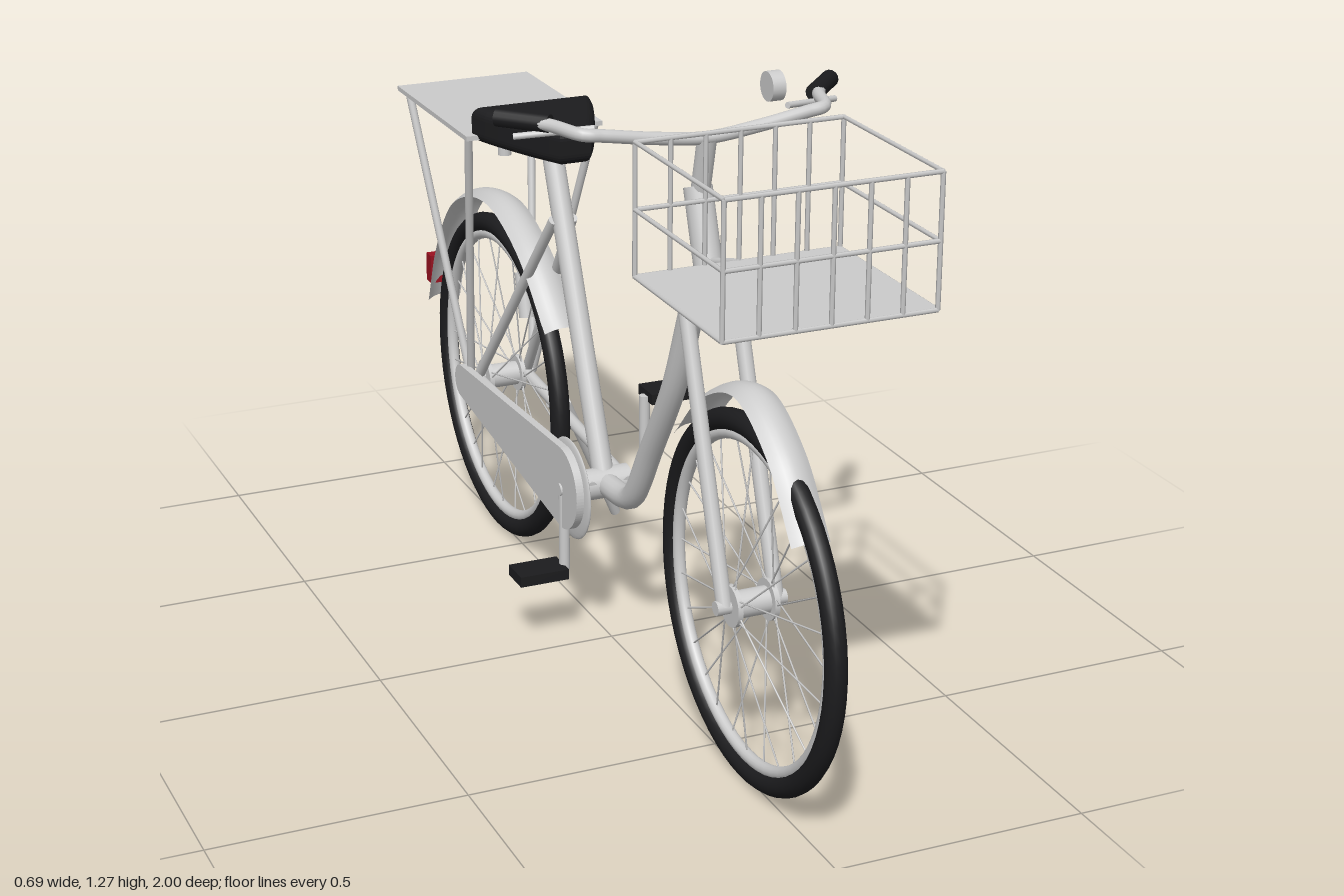
import * as THREE from 'three';
import { mergeGeometries } from 'three/addons/utils/BufferGeometryUtils.js';

const grey = new THREE.MeshStandardMaterial({ color: 0xcccccc });
const greySheet = new THREE.MeshStandardMaterial({ color: 0xcccccc, side: THREE.DoubleSide });
const black = new THREE.MeshStandardMaterial({ color: 0x1c1c1e });
const red = new THREE.MeshStandardMaterial({ color: 0x9a1220 });
const V = (p) => new THREE.Vector3(...p);

// Straight round bar between two points
function bar(a, b, r, sides = 14) {
  const from = V(a), dir = V(b).sub(from);
  const geo = new THREE.CylinderGeometry(r, r, dir.length(), sides);
  geo.applyQuaternion(new THREE.Quaternion().setFromUnitVectors(
    new THREE.Vector3(0, 1, 0), dir.clone().normalize()));
  const mid = from.addScaledVector(dir, 0.5);
  return geo.translate(mid.x, mid.y, mid.z);
}

// Smooth bent tube through points
const bent = (pts, r, seg = 40) =>
  new THREE.TubeGeometry(new THREE.CatmullRomCurve3(pts.map(V), false, 'centripetal'), seg, r, 14);

const box = (w, h, d, x, y, z) => new THREE.BoxGeometry(w, h, d).translate(x, y, z);

// Arched mudguard strip swept along a curve in the (z, y) plane
function mudguardGeometry(points) {
  const curve = new THREE.CatmullRomCurve3(points.map(([z, y]) => V([0, y, z])));
  const rows = 40, cols = 8, pos = [], index = [];
  for (let i = 0; i <= rows; i++) {
    const p = curve.getPoint(i / rows), t = curve.getTangent(i / rows);
    for (let j = 0; j <= cols; j++) {
      const a = (j / cols - 0.5) * 2;
      const drop = 0.016 * a * a;
      pos.push(a * 0.038, p.y + t.z * drop, p.z - t.y * drop);
      if (i < rows && j < cols) {
        const k = i * (cols + 1) + j;
        index.push(k, k + cols + 1, k + 1, k + 1, k + cols + 1, k + cols + 2);
      }
    }
  }
  const geo = new THREE.BufferGeometry();
  geo.setAttribute('position', new THREE.Float32BufferAttribute(pos, 3));
  geo.setIndex(index);
  geo.computeVertexNormals();
  return geo;
}

export function createModel() {
  const model = new THREE.Group();
  const add = (name, geos, mat = grey, parent = model) => {
    const mesh = new THREE.Mesh(Array.isArray(geos) ? mergeGeometries(geos) : geos, mat);
    mesh.name = name;
    parent.add(mesh);
    return mesh;
  };
  const both = (fn) => [1, -1].map(fn);
  const axleY = 0.37, frontZ = 0.64, rearZ = -0.61, crankY = 0.34, crankZ = -0.037;

  // Wheels: tyre, rim, hub and spokes
  for (const [name, z] of [['frontWheel', frontZ], ['rearWheel', rearZ]]) {
    const wheel = new THREE.Group();
    wheel.name = name;
    wheel.position.set(0, axleY, z);
    model.add(wheel);
    const ring = (R, r) => new THREE.TorusGeometry(R, r, 14, 64).rotateY(Math.PI / 2);
    add('tyre', ring(0.338, 0.021), black, wheel);
    add('rim', ring(0.313, 0.012), grey, wheel);
    add('hub', [
      bar([-0.035, 0, 0], [0.035, 0, 0], 0.026, 24),
      bar([-0.07, 0, 0], [0.07, 0, 0], 0.014),
      ...both((s) => bar([s * 0.032, 0, 0], [s * 0.042, 0, 0], 0.04, 24)),
    ], grey, wheel);
    const spokes = [];
    for (let i = 0; i < 28; i++) {
      const a = (i / 28) * Math.PI * 2, b = a + (i % 4 < 2 ? 0.4 : -0.4), x = i % 2 ? 0.037 : -0.037;
      spokes.push(bar([x, Math.cos(b) * 0.035, Math.sin(b) * 0.035],
        [0, Math.cos(a) * 0.31, Math.sin(a) * 0.31], 0.0018, 5));
    }
    add('spokes', spokes, grey, wheel);
  }

  // Mudguards and rear light
  add('frontMudguard', mudguardGeometry(
    [[0.885, 0.59], [0.78, 0.72], [0.64, 0.79], [0.49, 0.735], [0.37, 0.62]]), greySheet);
  add('rearMudguard', mudguardGeometry(
    [[-0.25, 0.6], [-0.41, 0.73], [-0.6, 0.788], [-0.81, 0.725], [-0.93, 0.58], [-0.99, 0.435]]), greySheet);
  add('rearLight', box(0.065, 0.065, 0.03, 0, 0.503, -0.985), red);

  // Frame
  add('headTube', bar([0, 0.905, 0.46], [0, 1.09, 0.395], 0.027, 20));
  add('downTube', bent([[0, 0.935, 0.41], [0, 0.81, 0.36], [0, 0.67, 0.3], [0, 0.5, 0.195],
    [0, 0.37, 0.11], [0, 0.35, 0.07], [0, 0.34, crankZ]], 0.024));
  add('seatTube', bar([0, 0.985, -0.315], [0, crankY, crankZ], 0.022, 20));
  add('bottomBracket', [bar([-0.05, crankY, crankZ], [0.05, crankY, crankZ], 0.032, 20),
    bar([-0.1, crankY, crankZ], [0.1, crankY, crankZ], 0.013)]);
  add('chainStays', both((s) =>
    bar([s * 0.04, 0.345, crankZ + 0.03], [s * 0.055, axleY, rearZ], 0.013)));
  add('seatStays', both((s) => bar([s * 0.02, 0.835, -0.25], [s * 0.057, axleY, rearZ], 0.011)));
  add('fork', both((s) => bar([s * 0.052, 0.888, 0.46], [s * 0.052, axleY, frontZ], 0.015)));

  // Stem, handlebar, grips, brake levers, bell
  add('stem', bent([[0, 1.07, 0.403], [0, 1.14, 0.42], [0, 1.19, 0.432]], 0.018));
  const half = [[0.1, 1.2, 0.43], [0.2, 1.216, 0.43], [0.235, 1.22, 0.425], [0.268, 1.22, 0.34], [0.325, 1.22, 0.265]];
  const mirrored = half.map(([x, y, z]) => [-x, y, z]).reverse();
  add('handlebar', bent([...mirrored, [0, 1.19, 0.43], ...half], 0.012, 100));
  add('grips', both((s) => bar([s * 0.262, 1.22, 0.335], [s * 0.333, 1.22, 0.258], 0.017)), black);
  add('brakeLevers', both((s) => bar([s * 0.32, 1.195, 0.305], [s * 0.19, 1.213, 0.37], 0.006)));
  add('bell', bar([0.152, 1.25, 0.36], [0.178, 1.25, 0.36], 0.028, 24));

  // Headlight with lens plate
  add('headlight', new THREE.SphereGeometry(0.045, 24, 18).scale(1, 1.05, 0.85).translate(0, 0.92, 0.56));
  add('headlightLens', bar([0, 0.92, 0.605], [0, 0.92, 0.609], 0.04, 32));

  // Wire basket with solid floor
  const wires = [], bx = 0.2, z0 = 0.57, z1 = 0.925, wire = 0.0045;
  for (const y of [1.0, 1.122, 1.243]) {
    for (const z of [z0, z1]) wires.push(bar([-bx, y, z], [bx, y, z], wire, 6));
    for (const x of [-bx, bx]) wires.push(bar([x, y, z0], [x, y, z1], wire, 6));
  }
  for (const z of [z0, z1]) {
    for (let i = 0; i <= 6; i++) {
      const x = -bx + (i * bx) / 3;
      wires.push(bar([x, 1.0, z], [x, 1.243, z], wire, 6));
    }
  }
  add('basketWires', wires);
  add('basketFloor', box(0.4, 0.008, z1 - z0, 0, 1.0, (z0 + z1) / 2));
  add('basketBracket', bar([0, 1.0, 0.575], [0, 0.96, 0.44], 0.008));

  // Saddle: bevelled plan shape, narrow nose to the front
  const plan = new THREE.Shape();
  plan.moveTo(-0.022, 0.2);
  plan.lineTo(0.022, 0.2);
  plan.quadraticCurveTo(0.066, 0.28, 0.108, 0.402);
  plan.lineTo(-0.108, 0.402);
  plan.quadraticCurveTo(-0.066, 0.28, -0.022, 0.2);
  const saddle = new THREE.ExtrudeGeometry(plan, {
    depth: 0.03, bevelThickness: 0.022, bevelSize: 0.02, bevelSegments: 6, curveSegments: 12 });
  add('saddle', saddle.rotateX(-Math.PI / 2).translate(0, 0.99, 0), black);
  add('saddleSprings', both((s) => bar([s * 0.073, 0.943, -0.385], [s * 0.073, 0.985, -0.385], 0.014)));

  // Rear carrier
  add('carrierPlate', box(0.3, 0.01, 0.425, 0, 0.98, -0.612));
  add('carrierStruts', both((s) => [-0.415, -0.775].map((z) =>
    bar([s * 0.14, 0.978, z], [s * 0.072, axleY, rearZ], 0.0085))).flat());

  // Chain case and chainring on the right side
  const outline = new THREE.Shape();
  outline.absarc(crankZ, 0.345, 0.086, -Math.PI / 2, Math.PI / 2, false);
  outline.absarc(rearZ, axleY, 0.036, Math.PI / 2, Math.PI * 1.5, false);
  const chainCase = new THREE.ExtrudeGeometry(outline, { depth: 0.016, bevelEnabled: false, curveSegments: 20 });
  add('chainCase', chainCase.rotateY(-Math.PI / 2).translate(-0.08, 0, 0));
  add('chainring', new THREE.SphereGeometry(0.105, 32, 16).scale(0.1, 1, 1).translate(-0.074, crankY, crankZ));

  // Cranks and pedals
  both((s) => {
    const y = crankY + s * 0.175;
    add(s > 0 ? 'leftCrank' : 'rightCrank',
      bar([s * 0.088, crankY - s * 0.01, crankZ], [s * 0.088, y, crankZ], 0.011));
    add(s > 0 ? 'leftPedal' : 'rightPedal', box(0.104, 0.022, 0.068, s * 0.143, y, crankZ - 0.003), black);
  });

  // Kickstand and dynamo
  add('kickstand', [bar([0.088, 0.345, -0.455], [0.24, 0.03, -0.54], 0.011),
    bar([0.045, 0.355, -0.45], [0.092, 0.345, -0.455], 0.011)]);
  add('dynamo', bar([0.05, 0.505, -0.585], [0.05, 0.6, -0.61], 0.017, 18));

  return model;
}
